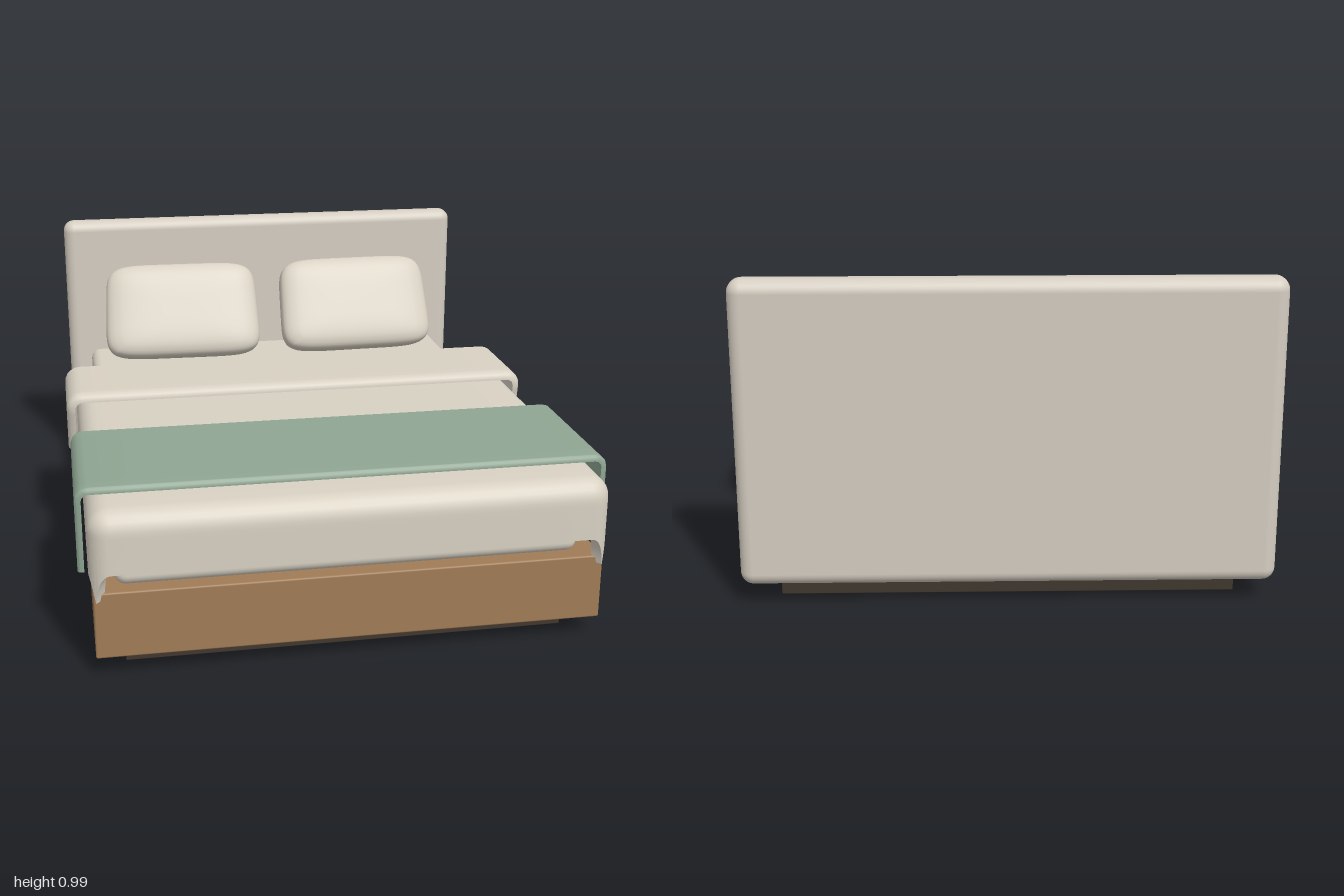
import * as THREE from 'three';
import { mergeVertices, toCreasedNormals } from 'three/addons/utils/BufferGeometryUtils.js';
import { RoundedBoxGeometry } from 'three/addons/geometries/RoundedBoxGeometry.js';

const paint = (name, color) => {
  const m = new THREE.MeshStandardMaterial({ color });
  m.name = name;
  return m;
};

// Sample positions: back to front across the flat part, then densely past its edge
const span = (from, to, n) => Array.from({ length: n }, (_, i) => from + (to - from) * i / n);

// Cloth shell laid over the bed: flat on top, bending over a radius and hanging to its hem.
// frontHem makes it hang over the foot end too; roundFront softens a front edge lying flat.
function drape({ halfW, top, radius, hem, back, front, thick, frontHem, roundFront = 0, slant = 0 }) {
  const arc = radius * Math.PI / 2;
  const reach = (h) => top - h - radius + arc;
  const flatX = halfW - radius;
  const flatZ = frontHem ? front - radius : front;
  const side = reach(hem);
  const us = [
    ...span(-flatX - side, -flatX, 14), ...span(-flatX, flatX, 12),
    ...span(flatX, flatX + side, 14), flatX + side,
  ];
  const vs = frontHem
    ? [...span(back, flatZ, 12), ...span(flatZ, flatZ + reach(frontHem), 14), flatZ + reach(frontHem)]
    : [...span(back, front - roundFront, 8), ...span(front - roundFront, front, 6), front];

  const point = (u, v, inner) => {
    const a = Math.max(0, Math.abs(u) - flatX);
    const b = Math.max(0, v - flatZ);
    const len = Math.hypot(a, b) || 1;
    const d = Math.pow(a ** 2.2 + b ** 2.2, 1 / 2.2);
    const angle = Math.min(d / radius, Math.PI / 2);
    const hang = Math.max(0, d - arc);
    const e = roundFront ? Math.max(0, v - front + roundFront) / roundFront : 0;
    const r = radius - (inner ? thick : 0.9 * thick * (1 - Math.sqrt(Math.max(0, 1 - e * e))));
    const out = r * Math.sin(angle);
    return [
      Math.sign(u) * (Math.min(Math.abs(u), flatX) + out * a / len),
      top - radius + r * Math.cos(angle) - hang,
      Math.min(v, flatZ) + out * b / len - slant * hang * (v - back) / (front - back),
    ];
  };

  const pos = [], index = [], n = us.length * 2;
  for (const v of vs) {
    for (const u of us) pos.push(...point(u, v, false));
    for (const u of [...us].reverse()) pos.push(...point(u, v, true));
  }
  const quad = (a, b, c, d) => index.push(a, b, c, a, c, d);
  for (let j = 0; j < vs.length - 1; j++) {
    for (let i = 0; i < n; i++) {
      const k = (i + 1) % n;
      quad(j * n + i, (j + 1) * n + i, (j + 1) * n + k, j * n + k);
    }
  }
  // Close the back and front edges between the two layers
  const last = (vs.length - 1) * n;
  for (let i = 0; i < us.length - 1; i++) {
    const k = n - 1 - i;
    quad(last + i, last + k, last + k - 1, last + i + 1);
    quad(i, i + 1, k - 1, k);
  }
  const geo = new THREE.BufferGeometry();
  geo.setAttribute('position', new THREE.Float32BufferAttribute(pos, 3));
  geo.setIndex(index);
  return toCreasedNormals(geo, 0.7);
}

// Soft cushion: a box pulled onto a rounded, plump form
function cushion(w, h, t) {
  let geo = new THREE.BoxGeometry(2, 2, 2, 24, 20, 12);
  geo.deleteAttribute('uv');
  geo.deleteAttribute('normal');
  geo = mergeVertices(geo);
  const p = geo.attributes.position;
  for (let i = 0; i < p.count; i++) {
    const x = p.getX(i), y = p.getY(i), z = p.getZ(i);
    const rim = Math.pow(Math.abs(x) ** 6 + Math.abs(y) ** 6, 1 / 6);
    const s = 1 / Math.pow(rim ** 3.6 + Math.abs(z) ** 3.6, 1 / 3.6);
    p.setXYZ(i, x * s * w / 2 * (1 - 0.025 * y * s), y * s * h / 2, z * s * t / 2);
  }
  geo.computeVertexNormals();
  return geo;
}

export function createModel() {
  const bed = new THREE.Group();
  bed.name = 'bed';
  const upholstery = paint('upholstery', 0xd5cdc1);
  const linen = paint('linen', 0xd8d1c3);
  const wood = paint('wood', 0xa07c56);
  const dark = paint('dark base', 0x40372e);
  const green = paint('sage green', 0x8fa592);

  const add = (name, geo, mat) => {
    const mesh = new THREE.Mesh(geo, mat);
    mesh.name = name;
    bed.add(mesh);
    return mesh;
  };
  // Rounded block given by half width, height range and depth range
  const block = (name, halfW, y0, y1, z0, z1, r, mat) => {
    const geo = new RoundedBoxGeometry(halfW * 2, y1 - y0, z1 - z0, 5, r);
    add(name, geo, mat).position.set(0, (y0 + y1) / 2, (z0 + z1) / 2);
  };

  // Base, frame, headboard and mattress
  block('plinth', 0.685, 0, 0.068, -0.905, 0.865, 0.003, dark);
  block('frame', 0.775, 0.065, 0.275, -0.91, 0.96, 0.006, wood);
  block('headboard', 0.795, 0.065, 0.99, -1, -0.905, 0.04, upholstery);
  block('mattress', 0.71, 0.27, 0.48, -0.88, 0.92, 0.035, linen);

  // Bedding
  add('duvet', drape({
    halfW: 0.785, top: 0.532, radius: 0.065, hem: 0.33, frontHem: 0.345,
    back: -0.31, front: 0.993, thick: 0.035,
  }), linen);
  add('duvetFold', drape({
    halfW: 0.822, top: 0.566, radius: 0.055, hem: 0.355,
    back: -0.335, front: 0, thick: 0.03, roundFront: 0.035, slant: 0.2,
  }), linen);
  add('throwBlanket', drape({
    halfW: 0.815, top: 0.56, radius: 0.04, hem: 0.295,
    back: 0.355, front: 0.85, thick: 0.02, roundFront: 0.012,
  }), green);

  // Pillows leaning back towards the headboard, mirrored
  const pillowGeo = cushion(0.6, 0.375, 0.135);
  for (const s of [-1, 1]) {
    const pillow = add(s > 0 ? 'leftPillow' : 'rightPillow', pillowGeo, linen);
    pillow.position.set(s * 0.348, 0.657, -0.728);
    pillow.rotation.set(-0.5, s * 0.03, 0, 'YXZ');
  }
  return bed;
}
